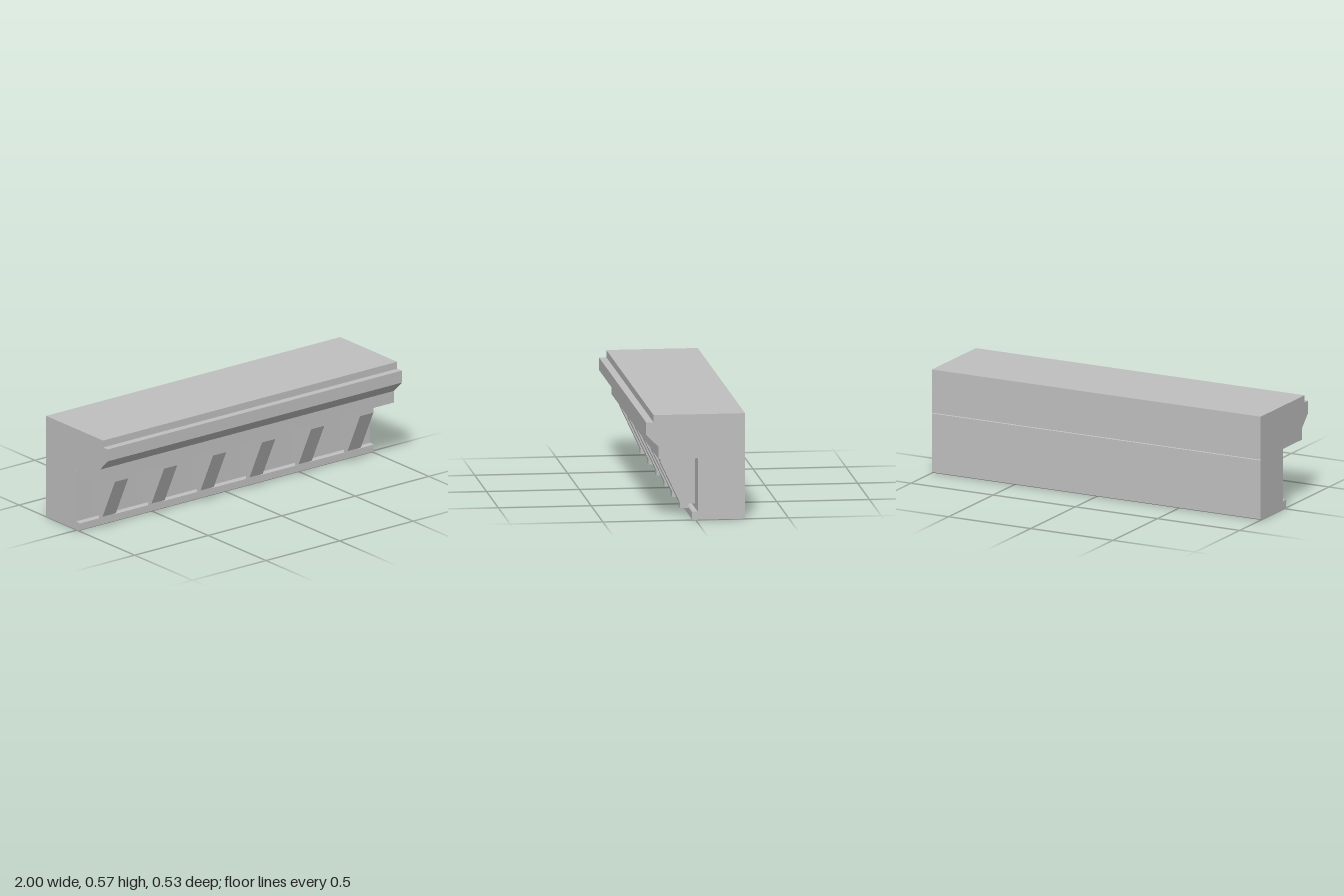
import * as THREE from 'three';

const stone = new THREE.MeshStandardMaterial({ color: 0xbfbfbf });
stone.name = 'stone grey';

// Extrude a [z, y] side profile along x, centred on the given x
function profileMesh(name, points, width, x = 0) {
  const shape = new THREE.Shape(points.map(([z, y]) => new THREE.Vector2(z, y)));
  const geometry = new THREE.ExtrudeGeometry(shape, { depth: width, bevelEnabled: false });
  geometry.rotateY(-Math.PI / 2);
  geometry.translate(width / 2, 0, 0);
  const mesh = new THREE.Mesh(geometry, stone);
  mesh.name = name;
  mesh.position.x = x;
  return mesh;
}

// Rectangle profile with small chamfered corners
function chamferedRect(z0, z1, y0, y1, c = 0.004) {
  return [
    [z0 + c, y0], [z1 - c, y0], [z1, y0 + c], [z1, y1 - c],
    [z1 - c, y1], [z0 + c, y1], [z0, y1 - c], [z0, y0 + c],
  ];
}

export function createModel() {
  const model = new THREE.Group();
  model.name = 'bracketedCornice';

  // Stepped cornice with its slanted underside
  model.add(profileMesh('cornice', [
    [-0.266, 0.335], [0.2, 0.335], [0.2, 0.401], [0.267, 0.467],
    [0.267, 0.535], [0.227, 0.535], [0.227, 0.574], [-0.266, 0.574],
  ], 2));

  // Wall block under the cornice and the ledge along its foot
  model.add(profileMesh('wall', chamferedRect(-0.266, -0.013, 0.001, 0.335), 2));
  model.add(profileMesh('baseLedge', chamferedRect(-0.013, 0.02, 0, 0.047), 2));

  // Six evenly spaced brackets, each with a small foot
  for (let i = 0; i < 6; i++) {
    const x = (i - 2.5) / 3;
    const bracket = new THREE.Group();
    bracket.name = 'bracket';
    bracket.position.x = x;
    bracket.add(profileMesh('bracketBody', [
      [-0.014, 0.068], [0.067, 0.068], [0.175, 0.297], [0.175, 0.335], [-0.014, 0.335],
    ], 0.09));
    bracket.add(profileMesh('bracketFoot', [
      [0.021, 0.042], [0.067, 0.042], [0.067, 0.068], [0.021, 0.068],
    ], 0.064));
    model.add(bracket);
  }
  return model;
}
